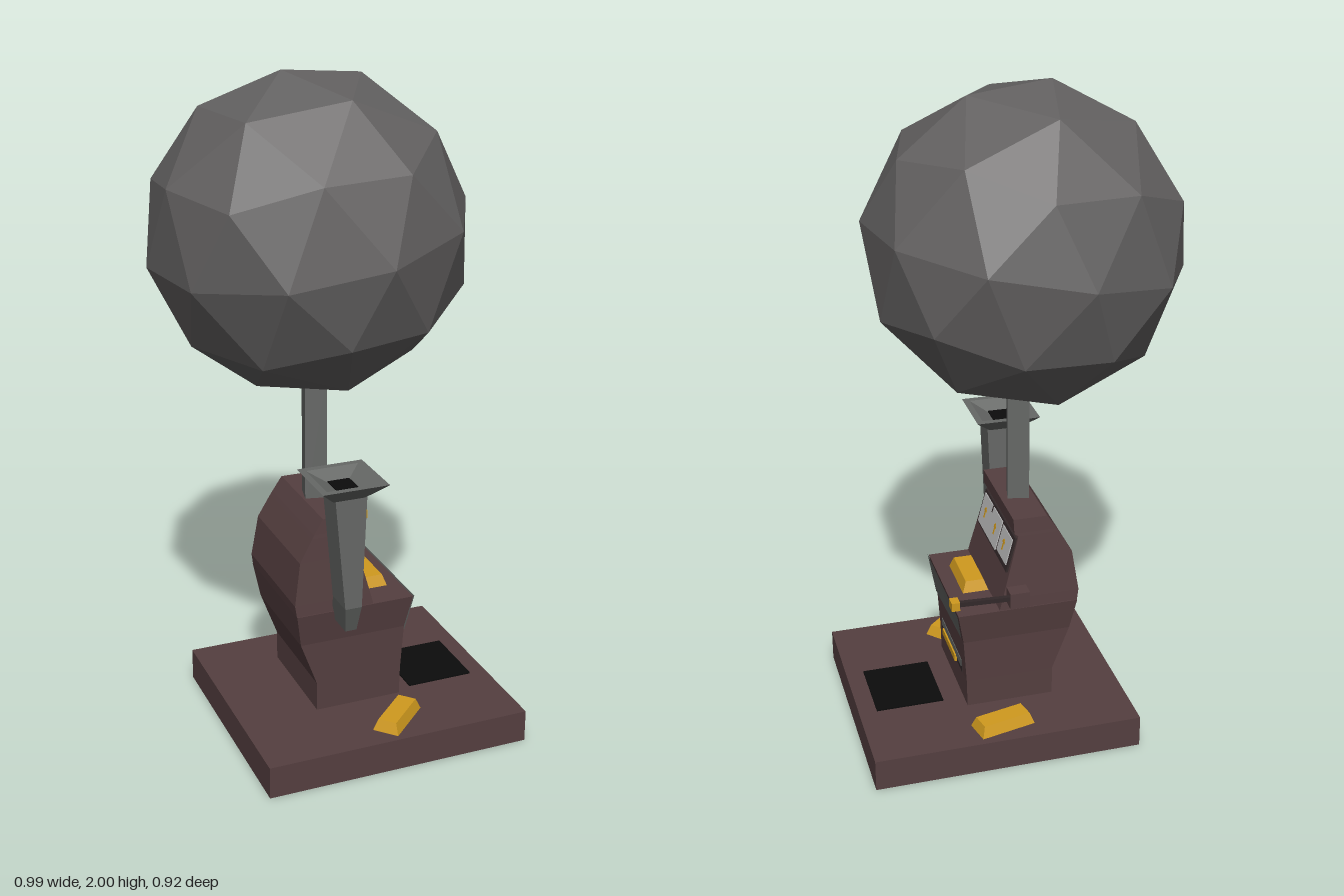
import * as THREE from 'three';

const paint = (name, color, double) => {
  const m = new THREE.MeshStandardMaterial({ color, flatShading: true });
  m.name = name;
  if (double) m.side = THREE.DoubleSide;
  return m;
};

// Rectangular ring: y, back x, front x, right z, left z
const ring = (y, x0, x1, z0, z1) => [[x1, y, z1], [x1, y, z0], [x0, y, z0], [x0, y, z1]];

// Skin a stack of four-cornered rings and cap both ends
function loft(rings) {
  const pos = [];
  const quad = (a, b, c, d) => pos.push(...a, ...b, ...c, ...a, ...c, ...d);
  for (let r = 0; r < rings.length - 1; r++) {
    for (let i = 0; i < 4; i++) {
      const j = (i + 1) % 4;
      quad(rings[r][i], rings[r][j], rings[r + 1][j], rings[r + 1][i]);
    }
  }
  quad(...[...rings[0]].reverse());
  quad(...rings[rings.length - 1]);
  const g = new THREE.BufferGeometry();
  g.setAttribute('position', new THREE.Float32BufferAttribute(pos, 3));
  g.computeVertexNormals();
  return g;
}

export function createModel() {
  const model = new THREE.Group();
  const brown = paint('brown', 0x553f40);
  const darkBrown = paint('darkBrown', 0x33292a);
  const ballGray = paint('ballGray', 0x626060);
  const metal = paint('metalGray', 0x666866, true);
  const gold = paint('gold', 0xd09a1e);
  const black = paint('black', 0x0c0c0c);
  const glass = paint('screenGray', 0xbcbcbc);

  const add = (name, geo, mat, parent = model) => {
    const m = new THREE.Mesh(geo, mat);
    m.name = name;
    parent.add(m);
    return m;
  };
  const box = (name, mat, size, at, parent) => {
    const m = add(name, new THREE.BoxGeometry(...size), mat, parent);
    m.position.set(...at);
    return m;
  };

  // Base slab with dark floor plate
  box('base', brown, [0.825, 0.1, 0.735], [0.083, 0.05, 0.048]);
  box('floorPlate', black, [0.21, 0.006, 0.22], [0.335, 0.102, 0.04]);

  // Cabinet: y, back x, front x, half width
  const zc = 0.03;
  const sections = [
    [0.12, -0.1, 0.17, 0.172], [0.21, -0.1, 0.172, 0.173], [0.35, -0.152, 0.181, 0.176],
    [0.455, -0.17, 0.2, 0.195], [0.455, -0.17, 0.072, 0.192], [0.49, -0.175, 0.063, 0.19],
    [0.62, -0.155, 0.028, 0.18], [0.69, -0.115, 0.01, 0.175], [0.7, -0.109, 0.022, 0.174],
    [0.745, -0.08, 0.024, 0.171],
  ];
  add('cabinet', loft(sections.map(([y, b, f, h]) => ring(y, b, f, zc - h, zc + h))), brown);

  // Metal apron under the ledge
  const apron = new THREE.BufferGeometry();
  apron.setAttribute('position', new THREE.Float32BufferAttribute([
    0.204, 0.457, 0.226, 0.185, 0.335, 0.2, 0.188, 0.368, -0.146, 0.204, 0.457, -0.168,
  ], 3));
  apron.setIndex([0, 1, 2, 0, 2, 3]);
  apron.computeVertexNormals();
  add('apron', apron, metal);

  // Payout slot
  box('payoutSlot', darkBrown, [0.006, 0.045, 0.26], [0.172, 0.235, 0.035]);
  box('payoutSlotFrame', metal, [0.008, 0.025, 0.25], [0.173, 0.243, 0.035]);
  box('payoutGold', gold, [0.016, 0.022, 0.16], [0.174, 0.223, 0.05]);

  // Sloped display with reels
  const display = new THREE.Group();
  display.name = 'display';
  display.position.set(0.028, 0.625, 0);
  display.rotation.z = 0.257;
  model.add(display);
  box('displayFrame', darkBrown, [0.008, 0.114, 0.335], [0.001, 0, 0.028], display);
  box('mainScreen', glass, [0.008, 0.098, 0.2], [0.004, 0, 0.084], display);
  box('sideScreen', glass, [0.008, 0.084, 0.1], [0.004, 0.003, -0.078], display);
  for (const z of [0.14, 0.03, -0.07]) {
    box('reelSymbol', gold, [0.004, 0.035, 0.009], [0.007, 0, z], display);
    box('reelSymbolBar', gold, [0.004, 0.008, 0.02], [0.007, 0.008, z], display);
  }
  box('reelMarker', darkBrown, [0.004, 0.022, 0.006], [0.007, 0.04, 0.085], display);

  // Pull lever
  const from = new THREE.Vector3(0.02, 0.51, -0.19);
  const to = new THREE.Vector3(0.225, 0.537, -0.222);
  box('leverBracket', brown, [0.06, 0.05, 0.05], [0.02, 0.505, -0.178]);
  const lever = box('lever', darkBrown, [0.014, 0.014, from.distanceTo(to)],
    from.clone().lerp(to, 0.5).toArray());
  lever.lookAt(to);
  box('leverKnob', gold, [0.025, 0.027, 0.034], to.toArray());

  // Feed pipe with hopper
  add('feedPipe', loft([
    ring(0.425, -0.05, -0.015, 0.2, 0.3),
    ring(0.515, -0.065, -0.014, 0.24, 0.335),
    ring(0.865, -0.097, 0, 0.24, 0.335),
  ]), metal);
  const square = (y, h) => ring(y, -0.056 - h, -0.056 + h, 0.29 - h, 0.29 + h);
  add('hopper', loft([
    square(0.858, 0.048), square(0.908, 0.1), square(0.908, 0.08), square(0.885, 0.035),
  ]), metal);
  box('hopperHole', black, [0.066, 0.006, 0.066], [-0.056, 0.885, 0.29]);

  // Pole
  const pole = add('pole', new THREE.CylinderGeometry(0.046, 0.046, 0.42, 4), metal);
  pole.position.set(-0.035, 0.92, 0.02);
  pole.rotation.y = 0.56;

  // Faceted ball, tilted by aiming one edge of the icosahedron
  const ball = add('ball', new THREE.IcosahedronGeometry(0.465, 1), ballGray);
  const a = new THREE.Vector3(-0.183, 0.983, 0.034).normalize();
  const b = new THREE.Vector3(0.796, 0.602, -0.108).normalize();
  const ax = b.clone().sub(a).normalize();
  const ay = a.clone().add(b).normalize();
  ball.quaternion.setFromRotationMatrix(
    new THREE.Matrix4().makeBasis(ax, ay, ax.clone().cross(ay)));
  ball.position.set(-0.045, 1.543, 0);

  // Gold ingots: x, y, z, turn
  const ingot = loft([
    ring(0, -0.0875, 0.0875, -0.04, 0.04),
    ring(0.034, -0.076, 0.076, -0.028, 0.028),
  ]);
  const bars = [
    [0.115, 0.458, 0.047, Math.PI / 2], [0.108, 0.113, 0.327, 0.75], [0.09, 0.116, -0.26, 0.22],
  ];
  for (const [x, y, z, turn] of bars) {
    const bar = add('goldBar', ingot, gold);
    bar.position.set(x, y, z);
    bar.rotation.y = turn;
  }

  return model;
}
